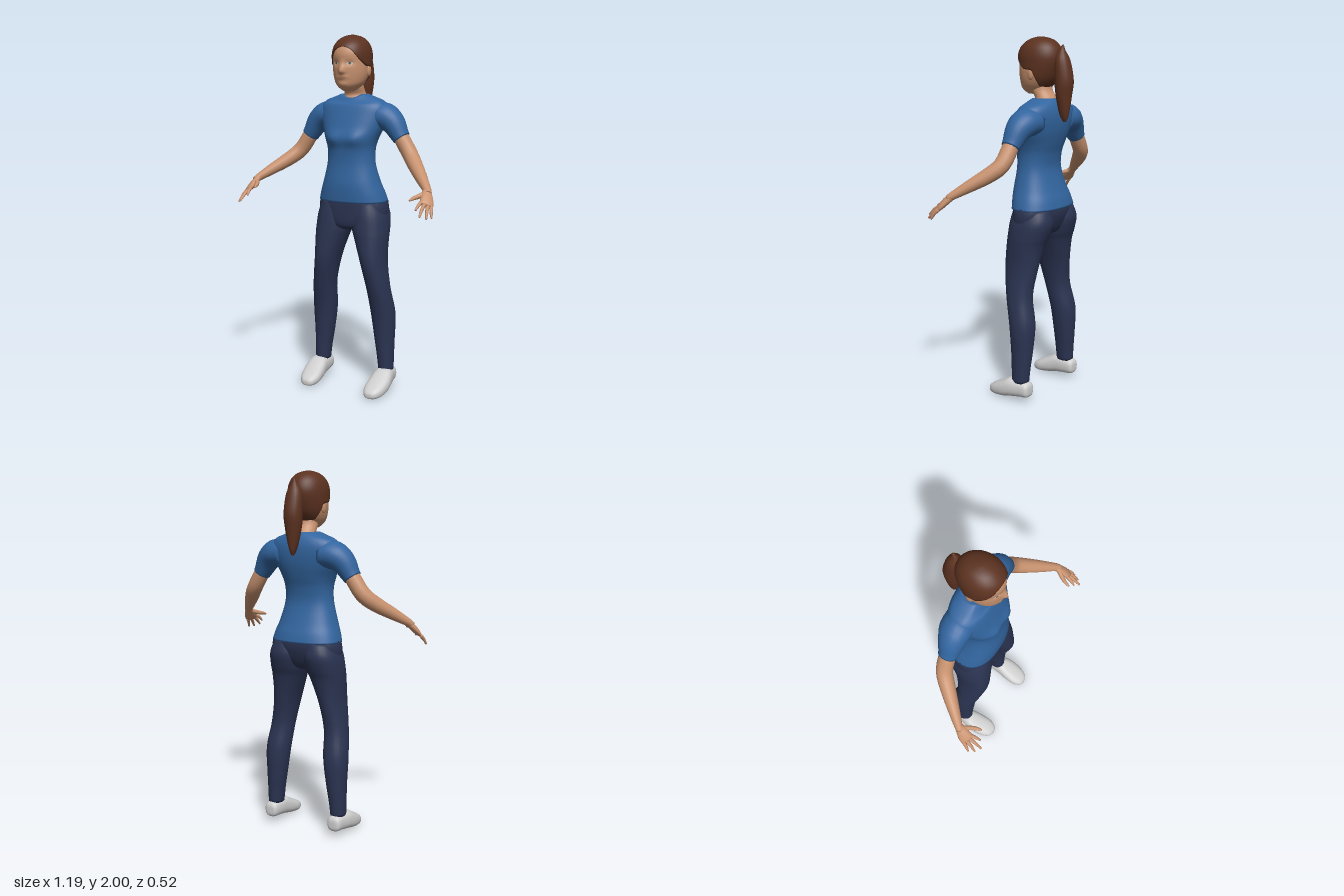
import * as THREE from 'three';

const mat = (name, color) => {
  const m = new THREE.MeshStandardMaterial({ color });
  m.name = name;
  return m;
};

// Catmull-Rom refinement of a list of number rows
function refine(rows, k = 4) {
  const out = [], at = i => rows[Math.min(Math.max(i, 0), rows.length - 1)];
  for (let i = 0; i < rows.length - 1; i++) {
    for (let s = 0; s < k; s++) {
      const t = s / k;
      out.push(rows[i].map((_, c) => {
        const [a, b, d, e] = [at(i - 1)[c], at(i)[c], at(i + 1)[c], at(i + 2)[c]];
        return b + 0.5 * t * (d - a + t * (2 * a - 5 * b + 4 * d - e + t * (3 * (b - d) + e - a)));
      }));
    }
  }
  out.push(rows[rows.length - 1]);
  return out;
}

// Linear lookup in rows keyed by their first number
function lookup(rows, key) {
  let i = 0;
  while (i < rows.length - 2 && rows[i + 1][0] < key) i++;
  const t = THREE.MathUtils.clamp((key - rows[i][0]) / (rows[i + 1][0] - rows[i][0]), 0, 1);
  return rows[i].map((v, c) => v + (rows[i + 1][c] - v) * t);
}

// Closed smooth skin over rings of points, capped at both ends
function loft(rings) {
  const n = rings[0].length, pos = [], idx = [];
  rings.forEach(r => r.forEach(p => pos.push(p.x, p.y, p.z)));
  for (let i = 0; i < rings.length - 1; i++) {
    for (let j = 0; j < n; j++) {
      const a = i * n + j, b = i * n + (j + 1) % n;
      idx.push(a, b, b + n, a, b + n, a + n);
    }
  }
  [0, rings.length - 1].forEach(i => {
    const c = new THREE.Vector3();
    rings[i].forEach(p => c.addScaledVector(p, 1 / n));
    const k = pos.length / 3;
    pos.push(c.x, c.y, c.z);
    for (let j = 0; j < n; j++) {
      const a = i * n + j, b = i * n + (j + 1) % n;
      if (i) idx.push(k, a, b); else idx.push(k, b, a);
    }
  });
  const g = new THREE.BufferGeometry();
  g.setAttribute('position', new THREE.Float32BufferAttribute(pos, 3));
  g.setIndex(idx);
  g.computeVertexNormals();
  return g;
}

const angles = n => Array.from({ length: n }, (_, j) => j / n * Math.PI * 2);
const power = (v, n) => Math.sign(v) * Math.abs(v) ** (2 / n);

// Upright body from rows [y, x0, x1, z0, z1], with an optional rule that moves points
function upright(rows, n = 2, seg = 28, rule) {
  return loft(refine(rows).map(([y, x0, x1, z0, z1]) => angles(seg).map(a => {
    const p = new THREE.Vector3((x0 + x1) / 2 + (x1 - x0) / 2 * power(Math.sin(a), n), y,
      (z0 + z1) / 2 + (z1 - z0) / 2 * power(Math.cos(a), n));
    if (rule) rule(p, a);
    return p;
  })));
}

// Limb along rows [x, y, z, width, thickness]; ref is the width direction
function limb(rows, ref, seg = 16) {
  const path = refine(rows, 3), pts = path.map(r => new THREE.Vector3(r[0], r[1], r[2]));
  return loft(path.map((r, i) => {
    const d = pts[Math.min(i + 1, pts.length - 1)].clone().sub(pts[Math.max(i - 1, 0)]).normalize();
    const e1 = ref.clone().addScaledVector(d, -ref.dot(d)).normalize();
    const e0 = e1.clone().cross(d);
    return angles(seg).map(a => pts[i].clone()
      .addScaledVector(e1, Math.sin(a) * r[3]).addScaledVector(e0, Math.cos(a) * r[4]));
  }));
}

function mirrored(geo) {
  const g = geo.clone().scale(-1, 1, 1), ix = g.index.array;
  for (let i = 0; i < ix.length; i += 3) [ix[i], ix[i + 1]] = [ix[i + 1], ix[i]];
  g.computeVertexNormals();
  return g;
}

const bump = (d, w) => Math.exp(-((d / w) ** 2));

// Head profile: [y, half width, front z, back z]
const HEAD = refine([
  [1.70, 0.03, 0.02, -0.05], [1.715, 0.052, 0.044, -0.085], [1.74, 0.077, 0.056, -0.11],
  [1.78, 0.093, 0.063, -0.143], [1.82, 0.099, 0.067, -0.16], [1.86, 0.1, 0.068, -0.173],
  [1.90, 0.099, 0.07, -0.176], [1.94, 0.087, 0.055, -0.163], [1.97, 0.062, 0.02, -0.135],
  [1.985, 0.035, -0.015, -0.1], [1.992, 0.005, -0.05, -0.06],
], 3);

function headPoint(y, a, grow = 0) {
  const [, rx, zf, zb] = lookup(HEAD, y);
  return new THREE.Vector3((rx + grow) * Math.sin(a), y,
    (zf + zb) / 2 + ((zf - zb) / 2 + grow) * Math.cos(a));
}

// Nose, lips, chin and eye sockets as small offsets of the face
function faceOffset(x, y) {
  const nose = y > 1.803 ? bump(y - 1.803, 0.036) : bump(y - 1.803, 0.012);
  return 0.027 * nose * bump(x, 0.015) + 0.007 * bump(y - 1.773, 0.011) * bump(x, 0.028)
    + 0.007 * bump(y - 1.735, 0.015) * bump(x, 0.03)
    - 0.007 * bump(y - 1.848, 0.014) * bump(Math.abs(x) - 0.04, 0.02);
}

// Thin oval plate that follows the face
function facePlate(cx, cy, w, h, off) {
  const g = new THREE.CircleGeometry(1, 20).scale(w, h, 1).translate(cx, cy, 0), p = g.attributes.position;
  for (let i = 0; i < p.count; i++) {
    const x = p.getX(i), y = p.getY(i), rx = lookup(HEAD, y)[1];
    p.setZ(i, headPoint(y, Math.asin(x / rx)).z + faceOffset(x, y) + off);
  }
  g.computeVertexNormals();
  return g;
}

export function createModel() {
  const skin = mat('skin', 0xc8926f), hairMat = mat('hair', 0x5c3220), blue = mat('shirt blue', 0x32659f);
  const navy = mat('trouser navy', 0x2b3452), white = mat('shoe white', 0xcfcfcf);
  const eyeMat = mat('eye', 0xc2bbb4), irisMat = mat('iris', 0x55504c), lipMat = mat('lips', 0xb47a62);
  const model = new THREE.Group();
  const add = (name, geo, m) => {
    const mesh = new THREE.Mesh(geo, m);
    mesh.name = name;
    model.add(mesh);
  };
  const pair = (name, geo, m) => {
    add(name + 'Left', geo, m);
    add(name + 'Right', mirrored(geo), m);
  };
  const sym = rows => rows.map(([y, x, z0, z1]) => [y, -x, x, z0, z1]);

  // Head and face
  const faceRings = Array.from({ length: 45 }, (_, i) => angles(64).map(a => {
    const p = headPoint(1.70 + i * 0.285 / 44, a);
    if (Math.cos(a) > 0) p.z += faceOffset(p.x, p.y);
    return p;
  }));
  add('head', loft(faceRings), skin);
  pair('ear', new THREE.SphereGeometry(1, 14, 10).scale(0.011, 0.032, 0.02).translate(0.097, 1.81, -0.062), skin);
  pair('eye', facePlate(0.041, 1.848, 0.017, 0.007, 0.002), eyeMat);
  pair('iris', facePlate(0.041, 1.848, 0.006, 0.006, 0.004), irisMat);
  add('lips', facePlate(0, 1.773, 0.024, 0.007, 0.002), lipMat);
  add('neck', upright(sym([[1.6, 0.09, -0.16, -0.03], [1.645, 0.075, -0.158, -0.02], [1.68, 0.061, -0.148, -0.034],
    [1.72, 0.058, -0.122, -0.012], [1.76, 0.055, -0.115, -0.01]])), skin);

  // Hair cap with a hairline keyed by the cosine of the angle from the front
  const hairline = [[-1, 1.74], [-0.7, 1.745], [-0.4, 1.79], [-0.2, 1.83], [0.25, 1.835],
    [0.6, 1.865], [0.88, 1.92], [1, 1.935]];
  const hairRings = [angles(56).map(a => headPoint(lookup(hairline, Math.cos(a))[1], a, -0.01))];
  for (let i = 0; i <= 24; i++) {
    const t = 1 - (1 - i / 24) ** 1.6;
    hairRings.push(angles(56).map(a => {
      const low = lookup(hairline, Math.cos(a))[1], y = low + (2 - low) * t;
      const p = headPoint(y - 0.008 * t, a, 0.007);
      p.y = y;
      return p;
    }));
  }
  add('hair', loft(hairRings), hairMat);
  add('ponytail', upright(sym([[1.56, 0.006, -0.225, -0.21], [1.6, 0.022, -0.24, -0.186], [1.7, 0.044, -0.253, -0.167],
    [1.78, 0.05, -0.262, -0.16], [1.88, 0.043, -0.24, -0.16], [1.93, 0.018, -0.215, -0.175],
    [1.96, 0.004, -0.207, -0.199]]), 2, 18), hairMat);

  // Shirt: torso with chest shaping and a collar that dips at the front
  add('shirt', upright(sym([[1.09, 0.203, -0.205, 0.06], [1.14, 0.188, -0.193, 0.064], [1.2, 0.166, -0.17, 0.064],
    [1.3, 0.14, -0.143, 0.052], [1.38, 0.137, -0.15, 0.055], [1.44, 0.152, -0.168, 0.066], [1.5, 0.177, -0.184, 0.05],
    [1.56, 0.195, -0.192, 0.032], [1.61, 0.2, -0.19, 0.016], [1.645, 0.172, -0.18, 0.002],
    [1.667, 0.115, -0.168, -0.01], [1.682, 0.075, -0.155, -0.02]]), 2.3, 40, p => {
    const front = THREE.MathUtils.clamp((p.z + 0.05) / 0.06, 0, 1);
    p.z += front * 0.014 * bump(p.y - 1.445, 0.04) * bump(Math.abs(p.x) - 0.065, 0.045);
    p.y -= 0.042 * front * THREE.MathUtils.smoothstep(p.y, 1.62, 1.682);
  }), blue);
  const outward = new THREE.Vector3(0, 0, 1);
  pair('sleeve', limb([[0.12, 1.565, -0.095, 0.085, 0.075], [0.185, 1.56, -0.095, 0.085, 0.076],
    [0.235, 1.525, -0.09, 0.07, 0.066], [0.27, 1.472, -0.086, 0.056, 0.053],
    [0.288, 1.446, -0.085, 0.05, 0.048]], outward, 24), blue);

  // Arms and hands
  pair('arm', limb([[0.25, 1.5, -0.088, 0.04, 0.04], [0.288, 1.446, -0.085, 0.044, 0.043],
    [0.345, 1.36, -0.075, 0.044, 0.043], [0.4, 1.305, -0.025, 0.041, 0.04], [0.465, 1.252, 0.045, 0.032, 0.032],
    [0.525, 1.203, 0.11, 0.022, 0.021], [0.535, 1.19, 0.125, 0.02, 0.018]], outward), skin);
  const across = new THREE.Vector3(0.83, -0.44, -0.33);
  pair('palm', limb([[0.52, 1.207, 0.105, 0.02, 0.019], [0.535, 1.177, 0.138, 0.031, 0.018],
    [0.546, 1.15, 0.165, 0.037, 0.016], [0.55, 1.136, 0.182, 0.034, 0.011]], across), skin);
  const tips = [[0.515, 1.118, 0.235], [0.546, 1.09, 0.257], [0.574, 1.078, 0.235], [0.59, 1.078, 0.203]];
  tips.forEach(([x, y, z], i) => {
    const base = new THREE.Vector3(0.548, 1.143, 0.172).addScaledVector(across, (i - 1.5) * 0.018);
    pair('finger' + (i + 1), limb([[base.x, base.y, base.z, 0.01, 0.01],
      [(base.x + x) / 2, (base.y + y) / 2 + 0.004, (base.z + z) / 2 + 0.004, 0.009, 0.009],
      [x, y, z, 0.005, 0.005]], across, 10), skin);
  });
  pair('thumb', limb([[0.525, 1.19, 0.125, 0.016, 0.014], [0.495, 1.176, 0.168, 0.012, 0.012],
    [0.482, 1.17, 0.195, 0.01, 0.009], [0.475, 1.163, 0.221, 0.005, 0.005]], across, 10), skin);

  // Trousers
  add('hips', upright(sym([[0.93, 0.05, -0.11, 0.01], [0.95, 0.13, -0.15, 0.038], [0.99, 0.195, -0.175, 0.046],
    [1.05, 0.209, -0.195, 0.047], [1.1, 0.2, -0.196, 0.045], [1.13, 0.18, -0.178, 0.04]]), 2.2, 36), navy);
  pair('trouserLeg', upright([[0.115, 0.166, 0.249, -0.13, -0.03], [0.2, 0.156, 0.25, -0.136, -0.026],
    [0.3, 0.14, 0.252, -0.145, -0.02], [0.45, 0.12, 0.256, -0.15, -0.005], [0.6, 0.108, 0.237, -0.122, 0.03],
    [0.75, 0.078, 0.216, -0.138, 0.06], [0.88, 0.034, 0.217, -0.16, 0.057], [0.94, 0.012, 0.217, -0.182, 0.053],
    [1.02, 0.004, 0.208, -0.203, 0.045], [1.09, 0.02, 0.18, -0.185, 0.03]], 2.2), navy);

  // Shoes: sections [z, x0, x1, y0, y1] from heel to toe
  const shoe = refine([[-0.15, 0.185, 0.228, 0.055, 0.095], [-0.138, 0.17, 0.247, 0.035, 0.118],
    [-0.09, 0.163, 0.256, 0.028, 0.128], [-0.03, 0.157, 0.27, 0.018, 0.132], [0.02, 0.15, 0.275, 0.007, 0.107],
    [0.08, 0.149, 0.266, 0, 0.075], [0.12, 0.165, 0.245, 0.002, 0.052], [0.135, 0.185, 0.222, 0.012, 0.034]]);
  pair('shoe', loft(shoe.map(([z, x0, x1, y0, y1]) => angles(24).map(a => new THREE.Vector3(
    (x0 + x1) / 2 + (x1 - x0) / 2 * power(Math.cos(a), 2.5),
    (y0 + y1) / 2 + (y1 - y0) / 2 * power(Math.sin(a), 2.5), z)))), white);

  return model;
}
